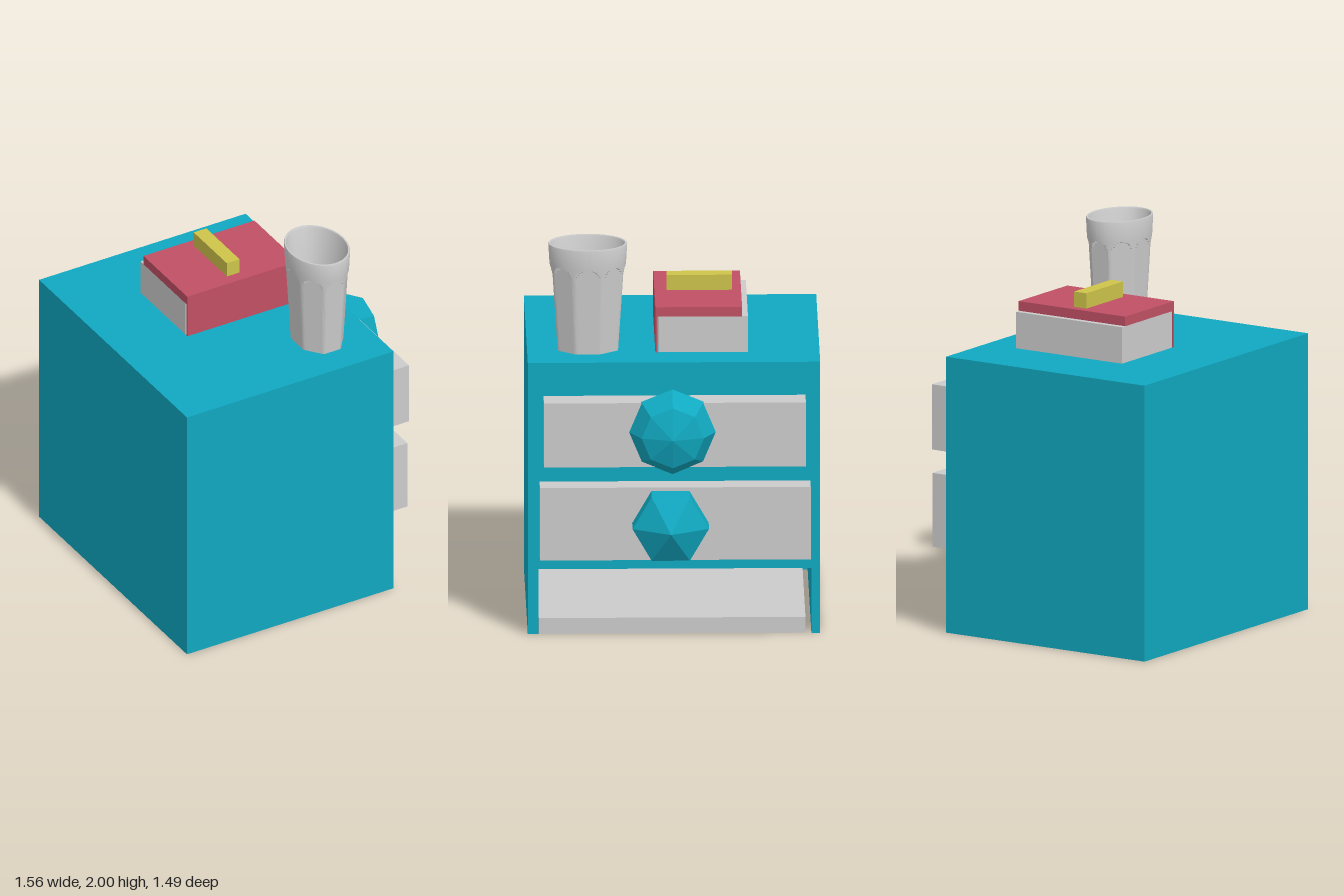
import * as THREE from 'three';
import { toCreasedNormals } from 'three/addons/utils/BufferGeometryUtils.js';

const material = (color) => new THREE.MeshStandardMaterial({ color });

function add(parent, name, geometry, mat) {
  const mesh = new THREE.Mesh(geometry, mat);
  mesh.name = name;
  parent.add(mesh);
  return mesh;
}

// Box given by its limits on each axis
function box(parent, name, mat, [x0, x1], [y0, y1], [z0, z1]) {
  const mesh = add(parent, name, new THREE.BoxGeometry(x1 - x0, y1 - y0, z1 - z0), mat);
  mesh.position.set((x0 + x1) / 2, (y0 + y1) / 2, (z0 + z1) / 2);
  return mesh;
}

// Faceted knob whose pole points along +x
function knob(parent, name, mat, sides, rings, depth, radius, position) {
  const geometry = new THREE.SphereGeometry(1, sides, rings);
  geometry.rotateY(Math.PI / 2).rotateZ(-Math.PI / 2).scale(depth, radius, radius);
  add(parent, name, geometry, mat).position.set(...position);
}

// Tapered oval tumbler with eight arched flutes cut into the outside
function tumblerGeometry() {
  const height = 0.56, archBase = 0.405, archTop = 0.45, halfAngle = 0.31;
  const outer = (y) => 0.127 + (0.157 - 0.127) * y / height;
  const points = [new THREE.Vector2(0, 0)];
  for (let i = 0; i <= 8; i++) points.push(new THREE.Vector2(outer(i * 0.05), i * 0.05));
  for (let i = 0; i <= 14; i++) {
    const y = archBase + i * 0.0035;
    points.push(new THREE.Vector2(outer(y), y));
  }
  points.push(
    new THREE.Vector2(0.156, height - 0.006), new THREE.Vector2(0.154, height),
    new THREE.Vector2(0.147, height), new THREE.Vector2(0.144, height - 0.006),
    new THREE.Vector2(0.113, 0.05), new THREE.Vector2(0, 0.05));

  const geometry = new THREE.LatheGeometry(points, 144);
  const pos = geometry.attributes.position;
  for (let i = 0; i < pos.count; i++) {
    const x = pos.getX(i), y = pos.getY(i), z = pos.getZ(i);
    if (Math.hypot(x, z) < outer(y) - 0.001 || y > archTop) continue;
    const step = Math.PI / 4, angle = Math.atan2(x, z);
    const a = Math.abs(angle - Math.round(angle / step) * step);
    const t = Math.max(0, (y - archBase) / (archTop - archBase));
    if (a > halfAngle * Math.sqrt(1 - t * t)) continue;
    const cut = 0.985 * Math.cos(halfAngle) / Math.cos(a);
    pos.setXYZ(i, x * cut, y, z * cut);
  }
  geometry.scale(1, 1, 1.29);
  return toCreasedNormals(geometry, 0.5);
}

export function createModel() {
  const model = new THREE.Group();
  model.name = 'bedsideCabinet';
  const teal = material(0x10a8c0), red = material(0xc05064), yellow = material(0xcdc34a);
  const grey = material(0xcccccc);
  const facetedTeal = material(0x10a8c0);
  facetedTeal.flatShading = true;

  // Cabinet: solid above, with an open bay below
  const cabinet = new THREE.Group();
  cabinet.name = 'cabinet';
  model.add(cabinet);
  const outline = new THREE.Shape([
    [-0.745, 0], [-0.69, 0], [-0.69, 0.345], [0.7, 0.345],
    [0.7, 0], [0.745, 0], [0.745, 1.44], [-0.745, 1.44],
  ].map(([x, y]) => new THREE.Vector2(x, y)));
  const body = new THREE.ExtrudeGeometry(outline, { depth: 1.14, bevelEnabled: false });
  body.rotateY(Math.PI / 2).translate(-0.7, 0, 0);
  add(cabinet, 'cabinetBody', body, teal);
  box(cabinet, 'backPanel', teal, [-0.78, -0.7], [0, 1.44], [-0.745, 0.745]);
  box(cabinet, 'bottomShelf', grey, [-0.63, 0.44], [0.001, 0.085], [-0.67, 0.689]);

  // Drawers and their knobs
  box(model, 'upperDrawer', grey, [0.4, 0.578], [0.925, 1.265], [-0.67, 0.665]);
  box(model, 'lowerDrawer', grey, [0.4, 0.557], [0.425, 0.81], [-0.695, 0.685]);
  knob(model, 'upperKnob', facetedTeal, 8, 4, 0.17, 0.225, [0.57, 1.11, 0.01]);
  knob(model, 'lowerKnob', facetedTeal, 6, 3, 0.22, 0.225, [0.557, 0.622, 0.02]);

  // Small chest on the top
  const chest = new THREE.Group();
  chest.name = 'chest';
  model.add(chest);
  box(chest, 'chestBase', grey, [-0.395, 0.255], [1.44, 1.63], [-0.38, 0.075]);
  box(chest, 'chestLid', red, [-0.395, 0.26], [1.63, 1.68], [-0.35, 0.092]);
  box(chest, 'chestFront', red, [-0.395, 0.26], [1.44, 1.63], [0.084, 0.092]);
  box(chest, 'chestHandle', yellow, [-0.125, -0.05], [1.68, 1.76], [-0.305, 0.03]);

  // Drinking glass
  add(model, 'tumbler', tumblerGeometry(), grey).position.set(0.17, 1.44, 0.435);

  return model;
}
